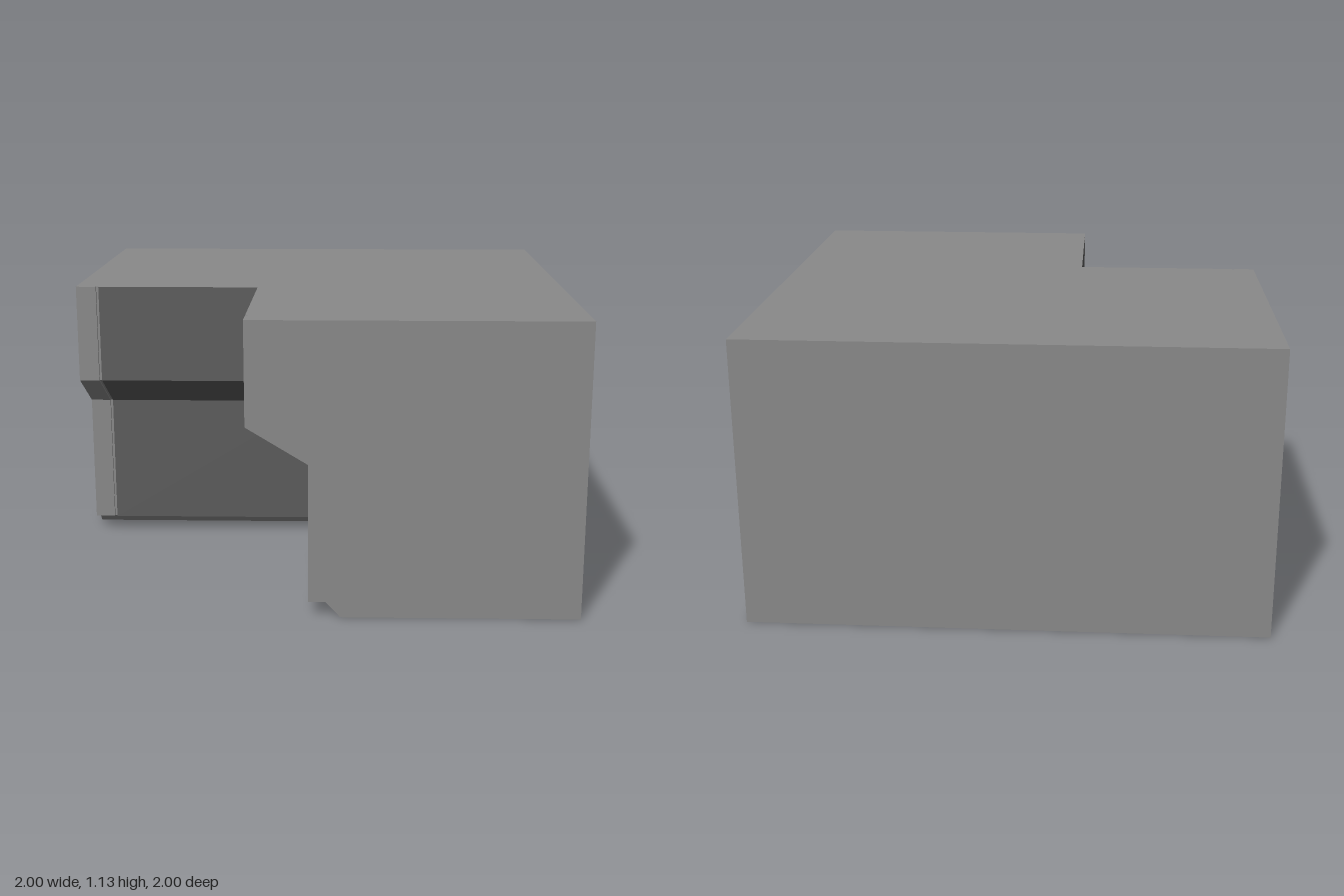
import * as THREE from 'three';

const H = 1.13;      // counter height
const GROOVE = 0.01; // depth of the grooves beside the front panels
// Front profile as [offset, height]: plinth bevel, ledge, body, overhang slope, top
const PROFILE = [[-0.10, 0], [-0.045, 0.06], [0.02, 0.06], [0.02, 0.595], [0.25, 0.735], [0.25, H]];

export function createModel() {
  const group = new THREE.Group();
  const body = new THREE.MeshStandardMaterial({ color: 0x8a8a8a });
  body.name = 'body grey';
  const panel = new THREE.MeshStandardMaterial({ color: 0x5c5c5c });
  panel.name = 'panel dark grey';

  const add = (name, geometry, material) => {
    const mesh = new THREE.Mesh(geometry, material);
    mesh.name = name;
    group.add(mesh);
    return mesh;
  };
  const flat = (points) => new THREE.ShapeGeometry(new THREE.Shape(points.map(([a, b]) => new THREE.Vector2(a, b))));

  // Cross-sections along the back arm; a null position is the mitred inner corner
  const stations = [[-1, 0], [-0.918, 0], [-0.918, GROOVE], [-0.907, GROOVE], [-0.907, 0], [null, 0]];
  const backArm = stations.map(([t, inset]) => PROFILE.map(([o, y], i) => {
    const z = i >= 2 ? o - inset : o;
    return [t === null ? -z : t, y, z];
  }));
  // The side arm mirrors the back arm across the mitre
  const sideArm = backArm.slice(0, -1).reverse().map((row) => row.map(([x, y, z]) => [-z, y, -x]));
  const rows = [...backArm, ...sideArm];

  // Inner faces: dark panels between the grooves, body colour elsewhere
  const faces = { body: [], panel: [] };
  for (let s = 0; s < rows.length - 1; s++) {
    for (let i = 0; i < PROFILE.length - 1; i++) {
      const dark = (s === 4 || s === 5) && i >= 2;
      const a = rows[s][i], b = rows[s + 1][i], c = rows[s + 1][i + 1], d = rows[s][i + 1];
      faces[dark ? 'panel' : 'body'].push(...a, ...b, ...c, ...a, ...c, ...d);
    }
  }
  const loft = (positions) => {
    const g = new THREE.BufferGeometry();
    g.setAttribute('position', new THREE.Float32BufferAttribute(positions, 3));
    g.computeVertexNormals();
    return g;
  };
  add('innerTrim', loft(faces.body), body);
  add('frontPanels', loft(faces.panel), panel);

  // Top surface, notched by the grooves
  const rim = rows.map((row) => row[PROFILE.length - 1]).map(([x, , z]) => [x, -z]);
  add('top', flat([...rim, [1, -1], [1, 1], [-1, 1]]).rotateX(-Math.PI / 2), body).position.y = H;

  // Underside
  const foot = PROFILE[0][0];
  add('underside', flat([[-1, foot], [-foot, foot], [-foot, 1], [1, 1], [1, -1], [-1, -1]]).rotateX(Math.PI / 2), body);

  // Profiled end faces of the two arms
  add('sideArmEnd', flat([...PROFILE.map(([o, y]) => [-o, y]), [1, H], [1, 0]]), body).position.z = 1;
  add('backArmEnd', flat([...PROFILE, [-1, H], [-1, 0]]).rotateY(-Math.PI / 2), body).position.x = -1;

  // Plain outer walls
  add('sideWall', new THREE.PlaneGeometry(2, H).rotateY(Math.PI / 2), body).position.set(1, H / 2, 0);
  add('backWall', new THREE.PlaneGeometry(2, H).rotateY(Math.PI), body).position.set(0, H / 2, -1);

  return group;
}
